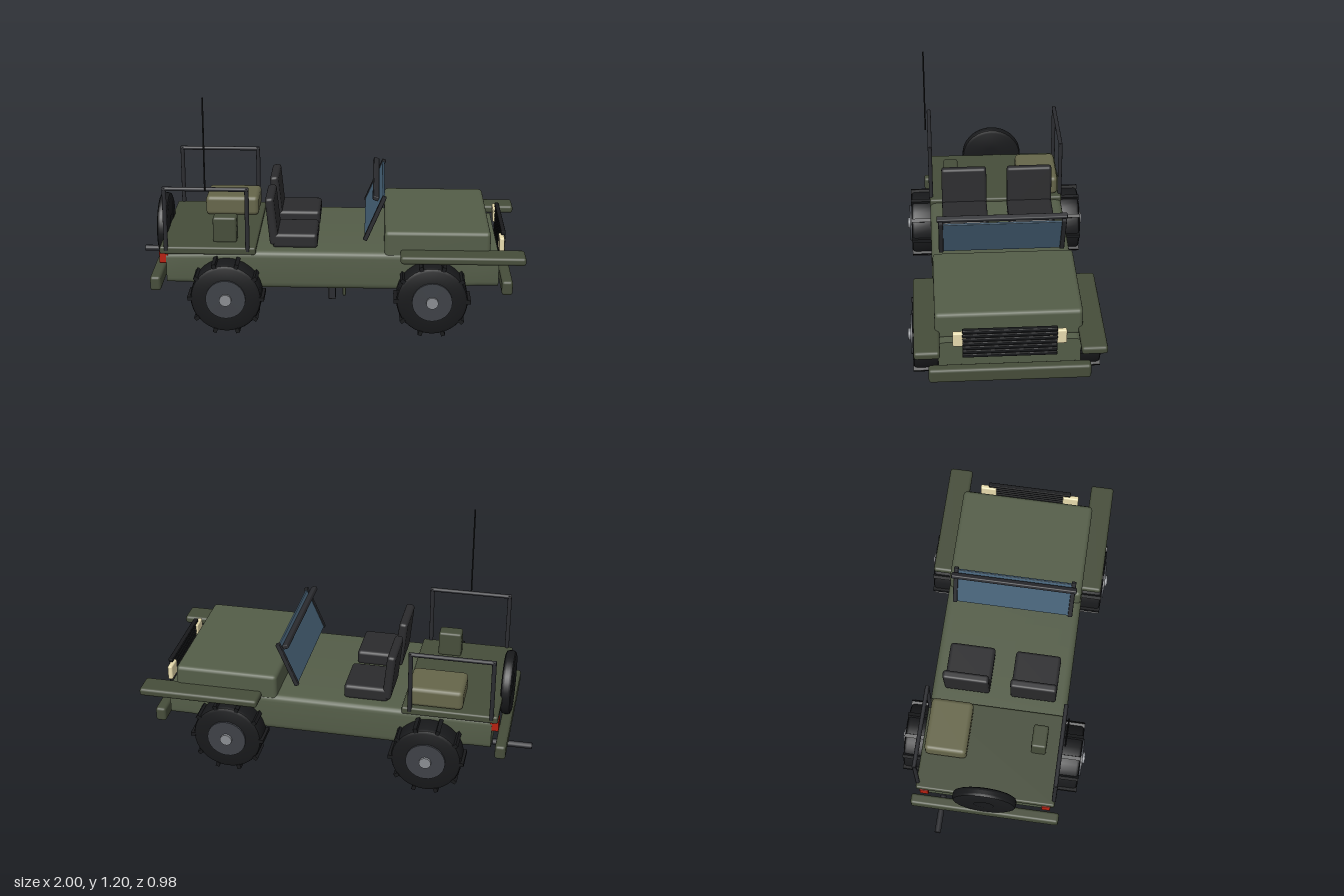
import * as THREE from 'three';
import { toCreasedNormals } from 'three/addons/utils/BufferGeometryUtils.js';
import { RoundedBoxGeometry } from 'three/addons/geometries/RoundedBoxGeometry.js';

const mat = (color) => new THREE.MeshStandardMaterial({ color });
const M = {
  green: mat(0x545d48), darkGreen: mat(0x464d3a), canvas: mat(0x66664a), black: mat(0x18191b),
  seat: mat(0x2b2b2d), metal: mat(0x2b2c30), rim: mat(0x3e4147), hub: mat(0x8a8d92),
  glass: mat(0x456075), cream: mat(0xe8dcae), red: mat(0xb82010),
};

function add(parent, name, geo, material, x = 0, y = 0, z = 0) {
  const m = new THREE.Mesh(geo, material);
  m.name = name;
  m.position.set(x, y, z);
  parent.add(m);
  return m;
}

// Rounded box given by its extents on each axis
function block(parent, name, material, [x0, x1], [y0, y1], [z0, z1], r = 0.01) {
  const g = new RoundedBoxGeometry(x1 - x0, y1 - y0, z1 - z0, 2, r);
  return add(parent, name, g, material, (x0 + x1) / 2, (y0 + y1) / 2, (z0 + z1) / 2);
}

// Round bar between two points
function bar(parent, name, material, a, b, r, sides = 12) {
  const A = new THREE.Vector3(...a), B = new THREE.Vector3(...b), d = B.clone().sub(A);
  const m = add(parent, name, new THREE.CylinderGeometry(r, r, d.length(), sides), material);
  m.position.copy(A).add(B).multiplyScalar(0.5);
  m.quaternion.setFromUnitVectors(new THREE.Vector3(0, 1, 0), d.normalize());
  return m;
}

// Body: rounded cross-section extruded along x, narrowing towards the ends
function bodyGeometry() {
  const w = 0.36, h = 0.1, r = 0.035, x0 = -0.8, x1 = 0.875;
  const s = new THREE.Shape();
  s.moveTo(-w + r, -h);
  s.lineTo(w - r, -h); s.quadraticCurveTo(w, -h, w, -h + r);
  s.lineTo(w, h - r); s.quadraticCurveTo(w, h, w - r, h);
  s.lineTo(-w + r, h); s.quadraticCurveTo(-w, h, -w, h - r);
  s.lineTo(-w, -h + r); s.quadraticCurveTo(-w, -h, -w + r, -h);
  const g = new THREE.ExtrudeGeometry(s, { depth: x1 - x0, steps: 16, curveSegments: 5, bevelEnabled: false });
  g.rotateY(Math.PI / 2).translate(x0, 0, 0);
  const p = g.attributes.position;
  for (let i = 0; i < p.count; i++) {
    const t = THREE.MathUtils.smoothstep(Math.abs(p.getX(i) - 0.04), 0.4, 0.75);
    p.setY(i, p.getY(i) * (1 - 0.18 * t));
    p.setZ(i, p.getZ(i) * (1 - 0.05 * t));
  }
  return toCreasedNormals(g, 0.6);
}

// Tyre: lathed profile with rounded shoulders, axis along z
function tyreGeometry(radius, width, inner) {
  const h = width / 2, c = 0.018;
  const pts = [[inner, -h], [radius - c, -h], [radius - 0.005, -h + 0.006], [radius, -h + c],
    [radius, h - c], [radius - 0.005, h - 0.006], [radius - c, h], [inner, h]];
  const g = new THREE.LatheGeometry(pts.map((q) => new THREE.Vector2(...q)), 36);
  return toCreasedNormals(g.rotateX(Math.PI / 2), 0.6);
}

const disc = (r, depth) => new THREE.CylinderGeometry(r, r, depth, 28).rotateX(Math.PI / 2);

function wheel(x, side) {
  const w = new THREE.Group();
  w.name = 'wheel';
  add(w, 'tyre', tyreGeometry(0.178, 0.128, 0.08), M.black);
  add(w, 'rim', disc(0.1, 0.138), M.rim, 0, 0, side * 0.005);
  add(w, 'hub', disc(0.03, 0.15), M.hub, 0, 0, side * 0.012);
  for (let i = 0; i < 10; i++) {
    const a = (i * Math.PI) / 5;
    const lug = add(w, 'treadLug', new THREE.BoxGeometry(0.024, 0.02, 0.128), M.black,
      Math.cos(a) * 0.18, Math.sin(a) * 0.18, 0);
    lug.rotation.z = a;
  }
  w.position.set(x, 0.195, side * 0.401);
  return w;
}

export function createModel() {
  const g = new THREE.Group();
  g.name = 'openTopVehicle';

  // Body, rear deck, hood and bumpers
  add(g, 'body', bodyGeometry(), M.green, 0, 0.31, 0);
  block(g, 'rearDeck', M.darkGreen, [-0.83, -0.345], [0.39, 0.43], [-0.36, 0.36]);
  block(g, 'hood', M.green, [0.3, 0.83], [0.38, 0.522], [-0.355, 0.355], 0.02);
  block(g, 'frontBumper', M.darkGreen, [0.89, 0.945], [0.203, 0.278], [-0.39, 0.39], 0.014);
  block(g, 'rearBumper', M.darkGreen, [-0.88, -0.825], [0.203, 0.278], [-0.39, 0.39], 0.014);

  // Parts mirrored on both sides
  for (const s of [1, -1]) {
    const z = (a, b) => (s > 0 ? [a, b] : [-b, -a]);
    g.add(wheel(-0.49, s), wheel(0.54, s));
    block(g, 'frontFender', M.darkGreen, [0.38, 1], [0.387, 0.428], z(0.333, 0.457), 0.014);
    block(g, 'headlight', M.cream, [0.88, 0.906], [0.387, 0.465], z(0.185, 0.272), 0.008);
    block(g, 'tailLight', M.red, [-0.835, -0.79], [0.335, 0.405], z(0.295, 0.34), 0.004);

    // Seat with a leaning backrest
    block(g, 'seatCushion', M.seat, [-0.265, -0.037], [0.405, 0.482], z(0.055, 0.295), 0.018);
    const back = block(g, 'seatBack', M.seat, [-0.29, -0.245], [0.42, 0.67], z(0.055, 0.295), 0.015);
    back.rotation.z = 0.1;

    // Side hoop over the rear deck
    const hz = s * 0.353;
    bar(g, 'hoopRearPost', M.metal, [-0.797, 0.41, hz], [-0.797, 0.742, hz], 0.011);
    bar(g, 'hoopFrontPost', M.metal, [-0.386, 0.41, hz], [-0.386, 0.742, hz], 0.011);
    bar(g, 'hoopRail', M.metal, [-0.805, 0.735, hz], [-0.378, 0.735, hz], 0.011);
  }

  // Tilted windshield with side posts and a top rail
  const shield = new THREE.Group();
  shield.name = 'windshield';
  block(shield, 'glass', M.glass, [-0.006, 0.006], [-0.12, 0.115], [-0.302, 0.302], 0.003);
  for (const s of [1, -1]) {
    block(shield, 'windshieldPost', M.metal, [-0.011, 0.011], [-0.125, 0.125],
      [s * 0.31 - 0.012, s * 0.31 + 0.012], 0.004);
  }
  shield.position.set(0.25, 0.578, 0);
  shield.rotation.z = -0.4;
  g.add(shield);
  const rail = block(g, 'windshieldTopRail', M.metal, [0.24, 0.27], [0.676, 0.7], [-0.33, 0.33], 0.006);
  rail.rotation.z = -0.4;

  // Grille of horizontal slats
  for (let i = 0; i < 7; i++) {
    const y = 0.336 + i * 0.0232;
    block(g, 'grilleSlat', M.black, [0.89, 0.913], [y - 0.0095, y + 0.0095], [-0.226, 0.226], 0.004);
  }

  // Spare wheel on the tail
  const spare = new THREE.Group();
  spare.name = 'spareWheel';
  add(spare, 'spareTyre', tyreGeometry(0.165, 0.055, 0.05), M.black);
  add(spare, 'spareCentre', disc(0.09, 0.05), M.black);
  spare.rotation.y = Math.PI / 2;
  spare.position.set(-0.845, 0.425, 0);
  g.add(spare);

  // Cargo, antenna and exhaust
  block(g, 'canvasPack', M.canvas, [-0.65, -0.368], [0.43, 0.535], [-0.34, -0.122], 0.022);
  block(g, 'fuelCan', M.darkGreen, [-0.568, -0.447], [0.425, 0.56], [0.202, 0.28], 0.012);
  bar(g, 'antenna', M.black, [-0.59, 0.735, 0.374], [-0.59, 1.208, 0.374], 0.004, 8);
  bar(g, 'exhaustPipe', M.metal, [-1, 0.2, -0.228], [-0.8, 0.2, -0.228], 0.016);

  // Pivoting mount under the floor: plate, receiver, post, grip and barrel
  const mount = new THREE.Group();
  mount.name = 'underMount';
  block(mount, 'plate', M.darkGreen, [0.086, 0.102], [0.063, 0.22], [-0.085, 0.085], 0.005);
  block(mount, 'receiver', M.metal, [-0.005, 0.09], [0.095, 0.145], [-0.02, 0.02], 0.008);
  block(mount, 'post', M.metal, [0.01, 0.047], [0.015, 0.1], [-0.02, 0.02], 0.004);
  block(mount, 'grip', M.metal, [-0.08, 0], [0.1, 0.114], [-0.02, 0.02], 0.004);
  bar(mount, 'barrel', M.metal, [0.08, 0.125, 0], [0.34, 0.125, 0], 0.006);
  bar(mount, 'barrelTip', M.hub, [0.335, 0.125, 0], [0.365, 0.125, 0], 0.009);
  g.add(mount);

  return g;
}
